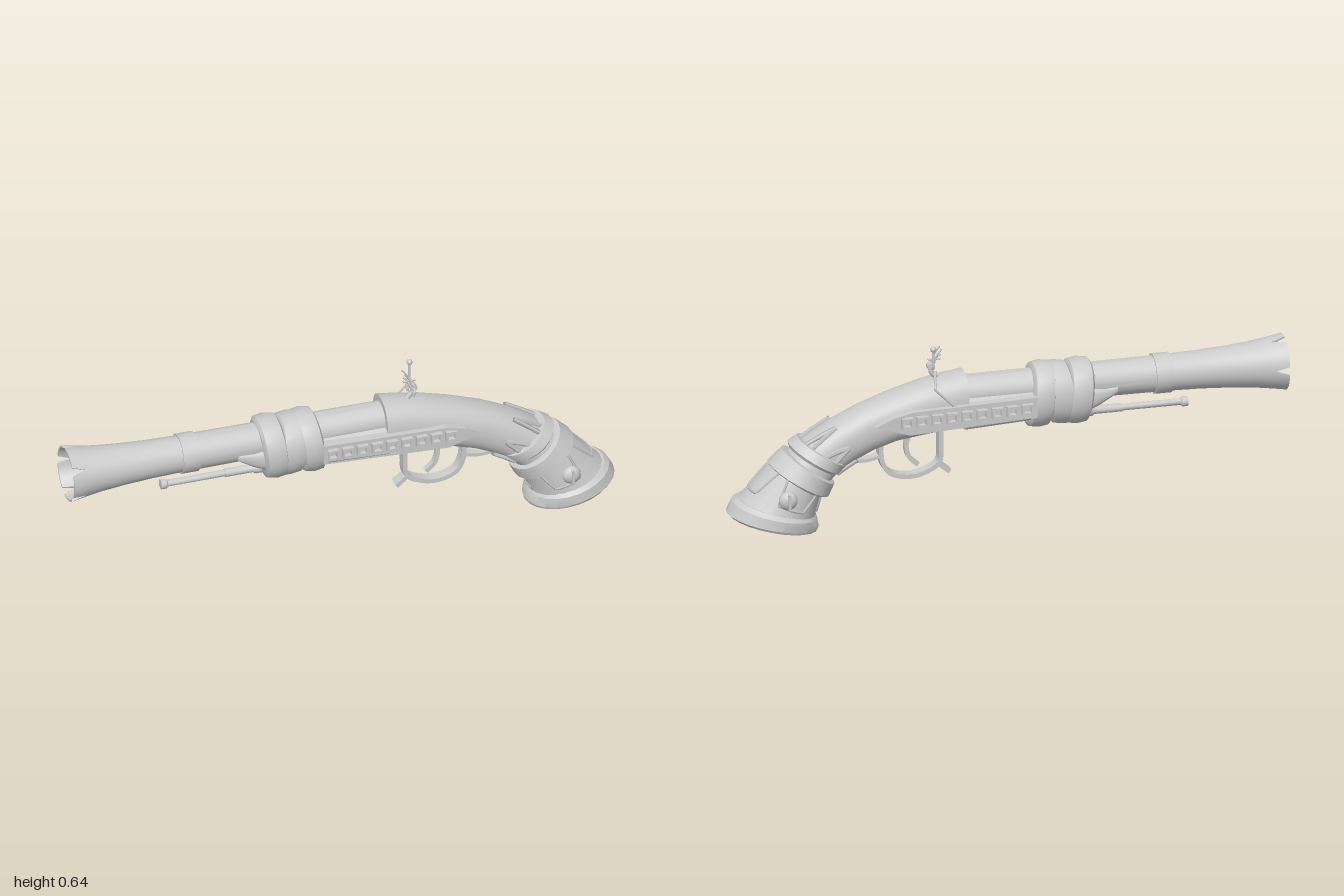
import * as THREE from 'three';
import { toCreasedNormals } from 'three/addons/utils/BufferGeometryUtils.js';

const mat = new THREE.MeshStandardMaterial({ color: 0xcccccc });
const matDouble = new THREE.MeshStandardMaterial({ color: 0xcccccc, side: THREE.DoubleSide });
const V = (x, y, z = 0) => new THREE.Vector3(x, y, z);

// A section is [topX, topY, bottomX, bottomY, halfWidth]; s runs along the list, a round it from the top
function surfacePoint(sections, s, a, lift = 0, power = 1) {
  const i = Math.min(Math.floor(s), sections.length - 2), f = s - i;
  const [tx, ty, bx, by, w] = sections[i].map((v, k) => v + (sections[i + 1][k] - v) * f);
  const round = v => Math.sign(v) * Math.abs(v) ** power;
  const half = Math.hypot(tx - bx, ty - by) / 2;
  const c = round(Math.cos(a)) * (1 + lift / half) / 2;
  return V((tx + bx) / 2 + c * (tx - bx), (ty + by) / 2 + c * (ty - by), round(Math.sin(a)) * (w + lift));
}

function loft(sections, sides = 24, power = 1, crease = 0.6) {
  const pos = [], idx = [], rows = sections.length;
  for (let i = 0; i < rows; i++)
    for (let j = 0; j < sides; j++)
      pos.push(...surfacePoint(sections, i, j / sides * Math.PI * 2, 0, power).toArray());
  for (const [tx, ty, bx, by] of [sections[0], sections[rows - 1]]) pos.push((tx + bx) / 2, (ty + by) / 2, 0);
  const c0 = rows * sides, last = (rows - 1) * sides;
  for (let j = 0; j < sides; j++) {
    const k = (j + 1) % sides;
    for (let i = 0; i < rows - 1; i++) {
      const a = i * sides + j, b = i * sides + k;
      idx.push(a, b, a + sides, b, b + sides, a + sides);
    }
    idx.push(c0, k, j, c0 + 1, last + j, last + k);
  }
  const g = new THREE.BufferGeometry();
  g.setAttribute('position', new THREE.Float32BufferAttribute(pos, 3));
  g.setIndex(idx);
  return toCreasedNormals(g, crease);
}

// Lathe of [x, radius] points lying along the x axis at height y
function latheX(points, y, sides = 32) {
  const g = new THREE.LatheGeometry(points.map(([x, r]) => new THREE.Vector2(r, x)), sides);
  return g.rotateZ(-Math.PI / 2).translate(0, y, 0);
}

const tube = (points, r, sides = 8, tension = 0.5, closed = false) => new THREE.TubeGeometry(
  new THREE.CatmullRomCurve3(points, closed, 'catmullrom', tension), points.length * 5, r, sides, closed);

function shapeOf(points) {
  return new THREE.Shape(points.map(([x, y]) => new THREE.Vector2(x, y)));
}
const extrude = (shape, depth, z) =>
  new THREE.ExtrudeGeometry(shape, { depth, bevelEnabled: false }).translate(0, 0, z);

// Flat strip that follows a path in the xy plane
function strip(points, thick, width) {
  const curve = new THREE.CatmullRomCurve3(points.map(([x, y]) => V(x, y)));
  const left = [], right = [];
  for (let i = 0; i <= 24; i++) {
    const p = curve.getPoint(i / 24), t = curve.getTangent(i / 24);
    left.push([p.x - t.y * thick / 2, p.y + t.x * thick / 2]);
    right.unshift([p.x + t.y * thick / 2, p.y - t.x * thick / 2]);
  }
  return toCreasedNormals(extrude(shapeOf([...left, ...right]), width, -width / 2), 0.6);
}

export function createModel() {
  const root = new THREE.Group();
  const add = (name, geometry, material = mat, parent = root) => {
    const m = new THREE.Mesh(geometry, material);
    m.name = name;
    parent.add(m);
    return m;
  };
  const group = name => {
    const g = new THREE.Group();
    g.name = name;
    root.add(g);
    return g;
  };

  // Flared barrel, hollow at the mouth, with V notches cut into the lip
  const barrel = latheX([[-0.55, 0], [-0.55, 0.045], [-0.75, 0.056], [-0.88, 0.07], [-0.95, 0.083], [-1, 0.093],
    [-1, 0.1], [-0.95, 0.091], [-0.88, 0.081], [-0.8, 0.074], [-0.7, 0.068], [-0.58, 0.065], [-0.3, 0.063],
    [0.2, 0.061], [0.2, 0]], 0.45, 40);
  const bp = barrel.attributes.position;
  for (let i = 0; i < bp.count; i++) {
    if (bp.getX(i) > -0.99) continue;
    const y = bp.getY(i) - 0.45, z = bp.getZ(i);
    const step = Math.round((Math.atan2(y, z) / (Math.PI * 2) + 1) * 40) % 40;
    if (step % 8 === 4) {
      const k = Math.hypot(y, z) > 0.097 ? 0.91 : 0.892;
      bp.setXYZ(i, -0.95, 0.45 + y * k, z * k);
    }
  }
  add('barrel', toCreasedNormals(barrel, 0.6), matDouble);
  add('barrelRing', toCreasedNormals(latheX([[-0.59, 0.06], [-0.59, 0.071], [-0.53, 0.071], [-0.53, 0.06]], 0.45), 0.6));

  // Ramrod under the barrel
  add('ramrod', toCreasedNormals(latheX([[-0.655, 0], [-0.655, 0.018], [-0.635, 0.018], [-0.63, 0.012], [-0.42, 0.012],
    [-0.42, 0.015], [-0.32, 0.015], [-0.31, 0.021], [-0.28, 0.021], [-0.28, 0]], 0.335, 12), 0.6));

  // Wooden fore end below the barrel, then the curved stock
  add('foreEnd', loft([[-0.39, 0.445, -0.39, 0.41, 0.066], [-0.33, 0.445, -0.33, 0.37, 0.07],
    [-0.28, 0.45, -0.28, 0.35, 0.08], [-0.08, 0.455, -0.08, 0.338, 0.087], [0.16, 0.455, 0.16, 0.325, 0.088]], 24, 0.6));
  const stock = [[0.15, 0.532, 0.15, 0.325, 0.088], [0.22, 0.521, 0.22, 0.321, 0.088], [0.3, 0.505, 0.29, 0.315, 0.088],
    [0.42, 0.47, 0.4, 0.3, 0.086], [0.53, 0.43, 0.48, 0.275, 0.085], [0.63, 0.382, 0.55, 0.242, 0.086],
    [0.73, 0.32, 0.605, 0.21, 0.092], [0.8, 0.26, 0.66, 0.15, 0.1]];
  add('stock', loft(stock, 28, 0.82));

  // Cloth wrap of three overlapping, slightly tilted bands
  const wrap = group('wrap');
  for (const [x, w, tilt, r] of [[-0.255, 0.085, -0.01, 0], [-0.19, 0.1, 0.015, -0.004], [-0.12, 0.08, -0.012, 0]]) {
    const at = (f, grow) => [x + f * w / 2 + tilt, 0.532 + r + grow, x + f * w / 2 - tilt, 0.304 - r - grow, 0.105 + r + grow];
    add('wrapBand', loft([at(-1, -0.016), at(-0.8, -0.002), at(0, 0.003), at(0.8, -0.002), at(1, -0.016)], 28, 0.92), mat, wrap);
  }

  // Side plates: backing, raised border and a row of small square frames
  const outline = [[-0.09, 0.445], [0.36, 0.432], [0.43, 0.415], [0.49, 0.388], [0.37, 0.348], [0.28, 0.352], [-0.09, 0.37]];
  for (const side of [1, -1]) {
    const plate = group(side > 0 ? 'leftSidePlate' : 'rightSidePlate');
    const place = z0 => (side > 0 ? z0[0] : -z0[1]);
    const solid = (shape, from, to) => extrude(shape, to - from, place([from, to]));
    add('plateBacking', solid(shapeOf(outline), 0.07, 0.093), mat, plate);
    const border = shapeOf(outline);
    border.holes.push(new THREE.Path(outline.map(([x, y]) =>
      new THREE.Vector2(0.18 + (x - 0.18) * 0.95, 0.394 + (y - 0.394) * 0.76))));
    add('plateBorder', solid(border, 0.09, 0.107), mat, plate);
    for (let i = 0; i < 9; i++) {
      const x = -0.055 + i * 0.054, y = 0.402 - i * 0.0012, w = 0.017, h = 0.019;
      const box = (a, b) => [[x - a, y - b], [x + a, y - b], [x + a, y + b], [x - a, y + b]];
      const frame = shapeOf(box(w + 0.003, h));
      frame.holes.push(new THREE.Path(box(w - 0.005, h - 0.008).map(p => new THREE.Vector2(...p))));
      add('plateSquare', solid(frame, 0.09, 0.11), mat, plate);
    }
  }

  // Trigger and its guard
  add('trigger', strip([[0.34, 0.33], [0.357, 0.27], [0.345, 0.225], [0.315, 0.195]], 0.016, 0.02));
  const guard = group('triggerGuard');
  add('guardLoop', strip([[0.235, 0.325], [0.235, 0.25], [0.24, 0.2], [0.285, 0.17], [0.35, 0.157], [0.42, 0.178],
    [0.448, 0.23], [0.45, 0.31]], 0.016, 0.04), mat, guard);
  add('guardHook', strip([[0.245, 0.2], [0.225, 0.18], [0.203, 0.163]], 0.016, 0.04), mat, guard);
  add('guardArm', strip([[0.44, 0.245], [0.5, 0.232], [0.585, 0.238]], 0.012, 0.034), mat, guard);

  // Two bands round the grip
  add('upperGripBand', loft([[0.735, 0.33, 0.578, 0.24, 0.1], [0.745, 0.337, 0.572, 0.23, 0.11],
    [0.778, 0.317, 0.595, 0.202, 0.116], [0.775, 0.302, 0.61, 0.2, 0.106]], 20));
  add('lowerGripBand', loft([[0.785, 0.29, 0.63, 0.18, 0.108], [0.8, 0.297, 0.618, 0.165, 0.119],
    [0.85, 0.25, 0.638, 0.122, 0.126], [0.843, 0.238, 0.66, 0.122, 0.114]], 20));

  // Pointed tabs lying on the grip above the upper band
  for (let k = 0; k < 6; k++) {
    const a = Math.PI / 6 + k * Math.PI / 3;
    const tab = [[6.1, -0.22], [5.5, -0.12], [4.9, 0], [5.5, 0.12], [6.1, 0.22]]
      .map(([s, d]) => surfacePoint(stock, s, a + d, 0.003, 0.82));
    add('gripTab', tube(tab, 0.009, 4, 0.1));
  }

  // Butt cap with rim and shallow cone base
  const cap = [[0.835, 0.255, 0.66, 0.14, 0.114], [0.88, 0.205, 0.675, 0.1, 0.122],
    [0.925, 0.155, 0.685, 0.065, 0.128], [0.965, 0.118, 0.69, 0.04, 0.133]];
  add('buttCap', loft(cap, 24));
  add('buttRim', loft([[0.962, 0.13, 0.688, 0.058, 0.132], [0.98, 0.118, 0.68, 0.045, 0.145],
    [1, 0.08, 0.674, 0.012, 0.147], [0.992, 0.07, 0.678, 0.002, 0.142], [0.845, 0.03, 0.835, 0.028, 0.005]], 24, 1, 0.5));

  // Raised trapezoid outlines round the cap
  for (let k = 0; k < 4; k++) {
    const a = k * Math.PI / 2;
    const edge = [[0, -0.62], [0.9, -0.5], [1.8, -0.38], [1.85, 0], [1.8, 0.38], [0.9, 0.5], [0, 0.62]]
      .map(([s, d]) => surfacePoint(cap, s, a + d, 0.001));
    add('capOutline', tube(edge, 0.005, 4, 0.1));
  }

  // Slotted studs on both sides of the cap
  for (const side of [1, -1]) {
    const stud = group(side > 0 ? 'leftStud' : 'rightStud');
    stud.position.set(0.81, 0.152, side * 0.12);
    add('studDome', new THREE.SphereGeometry(0.034, 16, 10).scale(1, 1, 0.72), mat, stud);
    add('studRidge', new THREE.BoxGeometry(0.009, 0.058, 0.053), mat, stud);
  }

  // Firing hammer: hub, stem, ball-ended lever, prongs and link to the side plate
  const hammer = group('hammer');
  add('hub', new THREE.CylinderGeometry(0.013, 0.013, 0.03, 12).rotateX(Math.PI / 2).translate(0.268, 0.557, 0), mat, hammer);
  add('stem', tube([V(0.268, 0.555), V(0.265, 0.535), V(0.248, 0.515), V(0.235, 0.5)], 0.009), mat, hammer);
  add('lever', tube([V(0.268, 0.56, 0), V(0.268, 0.56, -0.032), V(0.268, 0.568, -0.038), V(0.268, 0.63, -0.038)], 0.0045, 8, 0.2), mat, hammer);
  add('leverBall', new THREE.SphereGeometry(0.011, 14, 10).translate(0.268, 0.635, -0.038), mat, hammer);
  add('sideHook', tube([V(0.268, 0.557, 0), V(0.268, 0.556, 0.022), V(0.266, 0.55, 0.028), V(0.262, 0.535, 0.028)], 0.005, 8, 0.2), mat, hammer);
  for (const [z, top] of [[0.014, 0.624], [0, 0.6], [-0.014, 0.624]])
    add('prong', tube([V(0.265, 0.565, z), V(0.256, 0.58, z), V(0.25, (top + 0.575) / 2, z), V(0.232, top, z)], 0.003, 6), mat, hammer);
  add('crossPin', new THREE.CylinderGeometry(0.004, 0.004, 0.045, 8).rotateZ(Math.PI / 2).translate(0.255, 0.583, 0), mat, hammer);
  add('link', tube([V(0.25, 0.535, 0), V(0.26, 0.522, -0.03), V(0.27, 0.515, -0.082), V(0.275, 0.505, -0.092),
    V(0.23, 0.46, -0.094), V(0.2, 0.43, -0.096)], 0.0045, 8, 0.2), mat, hammer);

  return root;
}
